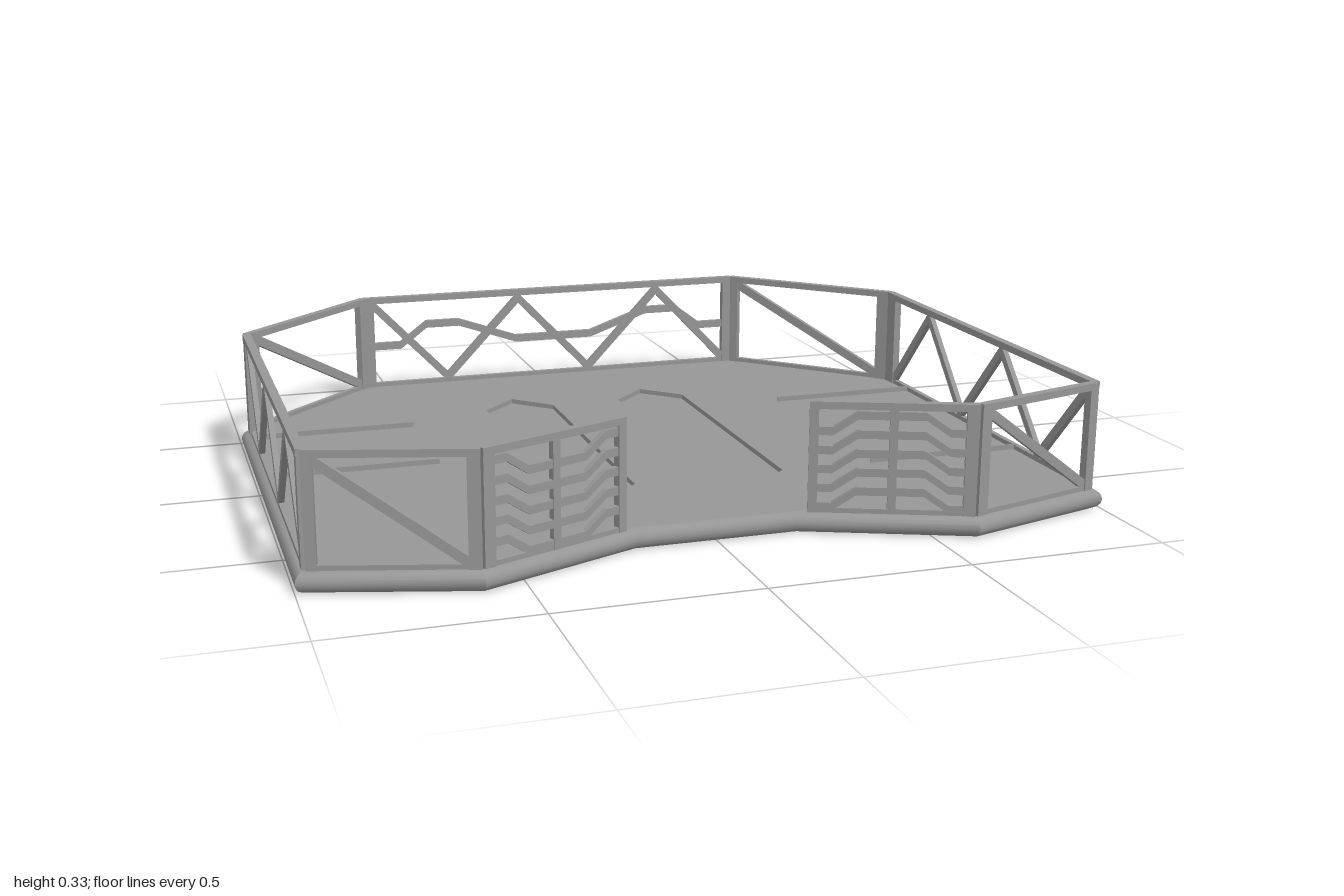
import * as THREE from 'three';
import { toCreasedNormals } from 'three/addons/utils/BufferGeometryUtils.js';

const V = (x, y) => new THREE.Vector2(x, y);
const DECK = 0.05, TOP = 0.326, RAIL = 0.018;

// Deck outline as (x, z), mirrored from its +x half
const half = [[0.6, -0.86], [1, -0.46], [1, 0.735], [0.6, 0.85], [0.2, 0.685]];
const outline = [...half, ...half.map(([x, z]) => [-x, z]).reverse()].map(([x, z]) => V(x, z));

// Move every edge of a loop inwards by d
function inset(loop, d) {
  const n = loop.length;
  return loop.map((p, i) => {
    const a = p.clone().sub(loop[(i + n - 1) % n]).normalize();
    const b = loop[(i + 1) % n].clone().sub(p).normalize();
    const na = V(-a.y, a.x), nb = V(-b.y, b.x);
    return p.clone().addScaledVector(na.clone().add(nb), d / (1 + na.dot(nb)));
  });
}

// Skin between equal-length loops at given heights
function skin(rings) {
  const pos = [], idx = [], n = rings[0].loop.length;
  rings.forEach(({ loop, y }) => loop.forEach(p => pos.push(p.x, y, p.y)));
  for (let r = 0; r < rings.length - 1; r++) {
    for (let i = 0; i < n; i++) {
      const a = r * n + i, b = r * n + (i + 1) % n;
      idx.push(a, a + n, b, b, a + n, b + n);
    }
  }
  const g = new THREE.BufferGeometry();
  g.setAttribute('position', new THREE.Float32BufferAttribute(pos, 3));
  g.setIndex(idx);
  return toCreasedNormals(g.toNonIndexed(), 0.6);
}

// Flat face at height y, facing up or down, with optional holes
function face(loop, y, up, holes = []) {
  const flip = pts => pts.map(p => V(p.x, up ? -p.y : p.y));
  const shape = new THREE.Shape(flip(loop));
  shape.holes = holes.map(h => new THREE.Path(flip(h)));
  return new THREE.ShapeGeometry(shape).rotateX(up ? -Math.PI / 2 : Math.PI / 2).translate(0, y, 0);
}

export function createModel() {
  const model = new THREE.Group();
  model.name = 'railedPlatform';
  const grey = new THREE.MeshStandardMaterial({ color: 0x969696, side: THREE.DoubleSide });
  grey.name = 'grey';
  const add = (parent, name, geometry) => {
    const m = new THREE.Mesh(geometry, grey);
    m.name = name;
    parent.add(m);
    return m;
  };

  // Deck with a half-round rim, two pointed recesses on top and one below
  const deck = new THREE.Group();
  deck.name = 'deck';
  model.add(deck);
  const r = DECK / 2, rings = [];
  for (let i = 0; i <= 8; i++) {
    const a = -Math.PI / 2 + (i / 8) * Math.PI;
    rings.push({ loop: inset(outline, r * (1 - Math.cos(a))), y: r + r * Math.sin(a) });
  }
  add(deck, 'roundedRim', skin(rings));
  const cap = inset(outline, r);
  const slots = [-0.2, 0.2].map(x => [V(x, -0.56), V(x + 0.1, -0.46), V(x + 0.1, 0.34),
    V(x, 0.44), V(x - 0.1, 0.34), V(x - 0.1, -0.46)]);
  const pocket = [V(-0.2, -0.05), V(0.6, -0.05), V(0.6, 0.34), V(-0.2, 0.34)];
  add(deck, 'deckTop', face(cap, DECK, true, slots));
  add(deck, 'deckUnderside', face(cap, 0, false, [pocket]));
  slots.forEach(s => {
    add(deck, 'slotWall', skin([{ loop: s, y: DECK }, { loop: s, y: DECK - 0.013 }]));
    add(deck, 'slotFloor', face(s, DECK - 0.013, true));
  });
  add(deck, 'pocketWall', skin([{ loop: pocket, y: 0.01 }, { loop: pocket, y: 0 }]));
  add(deck, 'pocketCeiling', face(pocket, 0.01, false));

  // Low fins reaching in from the side walls
  [[-0.75, 0.02], [-0.75, -0.35], [0.76, 0.35], [0.76, -0.3]].forEach(([x, z]) => {
    add(deck, 'floorFin', new THREE.BoxGeometry(0.43, 0.014, 0.004)).position.set(x, DECK + 0.007, z);
  });

  // Band of height h following points (distance along the wall, y)
  const strip = (wall, name, pts, h, depth = 0.014) => {
    const up = pts.map(([s, y]) => V(s, y + h / 2));
    const low = pts.map(([s, y]) => V(s, y - h / 2)).reverse();
    add(wall, name, new THREE.ExtrudeGeometry(new THREE.Shape([...low.reverse(), ...up.reverse()]),
      { depth, bevelEnabled: false }).translate(0, 0, -depth / 2));
  };

  // Wall frame from a to b with end posts of the given widths
  const frame = (name, a, b, postA, postB) => {
    const wall = new THREE.Group();
    const dx = b[0] - a[0], dz = b[1] - a[1], len = Math.hypot(dx, dz);
    wall.name = name;
    wall.position.set(a[0], 0, a[1]);
    wall.rotation.y = Math.atan2(-dz, dx);
    model.add(wall);
    const mid = (DECK + TOP) / 2, tall = TOP - DECK;
    strip(wall, 'topRail', [[0, TOP - RAIL / 2], [len, TOP - RAIL / 2]], RAIL, 0.022);
    strip(wall, 'bottomRail', [[0, DECK + 0.006], [len, DECK + 0.006]], 0.012);
    strip(wall, 'post', [[0, mid], [postA, mid]], tall, 0.02);
    strip(wall, 'post', [[len - postB, mid], [len, mid]], tall, 0.02);
    return { wall, len, start: postA, end: len - postB };
  };
  const HI = TOP - 0.026, LO = DECK + 0.016;

  // Zigzag brace with five legs
  const zigzag = (f, highFirst) => {
    const pts = [];
    for (let i = 0; i <= 5; i++) {
      pts.push([f.start + (f.end - f.start) * i / 5, (i % 2 === 0) === highFirst ? HI : LO]);
    }
    strip(f.wall, 'zigzagBrace', pts, 0.032);
  };

  // Back wall with zigzag and wavy bar
  const back = frame('backWall', [-0.59, -0.832], [0.59, -0.832], 0.03, 0.03);
  zigzag(back, true);
  strip(back.wall, 'wavyBar', [[-0.56, 0.175], [-0.48, 0.175], [-0.4, 0.235], [-0.3, 0.235], [-0.12, 0.172],
    [0.12, 0.172], [0.3, 0.235], [0.4, 0.235], [0.48, 0.175], [0.56, 0.175]].map(([x, y]) => [x + 0.59, y]), 0.022);

  for (const s of [-1, 1]) {
    const side = s < 0 ? 'right' : 'left';
    // Long side wall
    zigzag(frame(side + 'SideWall', [s * 0.972, 0.715], [s * 0.972, -0.45], 0.03, 0.055), s > 0);

    // Corner panels with a single diagonal brace
    [['BackCorner', [s * 0.59, -0.832], [s * 0.972, -0.45], 0.03, 0.04],
      ['FrontCorner', [s * 0.6, 0.82], [s * 0.972, 0.715], 0.03, 0.025]].forEach(([name, a, b, p, q]) => {
      const f = frame(side + name, a, b, p, q);
      strip(f.wall, 'diagonalBrace', [[f.start, s > 0 ? HI : LO], [f.end, s > 0 ? LO : HI]], 0.028);
    });

    // Front gate panel with five bent slats and a middle post
    const g = frame(side + 'FrontPanel', [s * 0.6, 0.82], [s * 0.23, 0.67], 0.03, 0.022);
    const mid = g.len / 2, y = (DECK + TOP) / 2;
    strip(g.wall, 'middlePost', [[mid - 0.01, y], [mid + 0.01, y]], TOP - DECK, 0.016);
    for (let i = 0; i < 5; i++) {
      const base = 0.085 + i * 0.047, bend = s < 0 ? -0.02 : 0.02;
      const at = t => g.start + (g.end - g.start) * t;
      strip(g.wall, 'bentSlat', [[0, -1], [0.1, -1], [0.27, 1], [0.73, 1], [0.9, -1], [1, -1]]
        .map(([t, k]) => [at(t), base + k * bend]), 0.02);
    }
  }
  return model;
}
